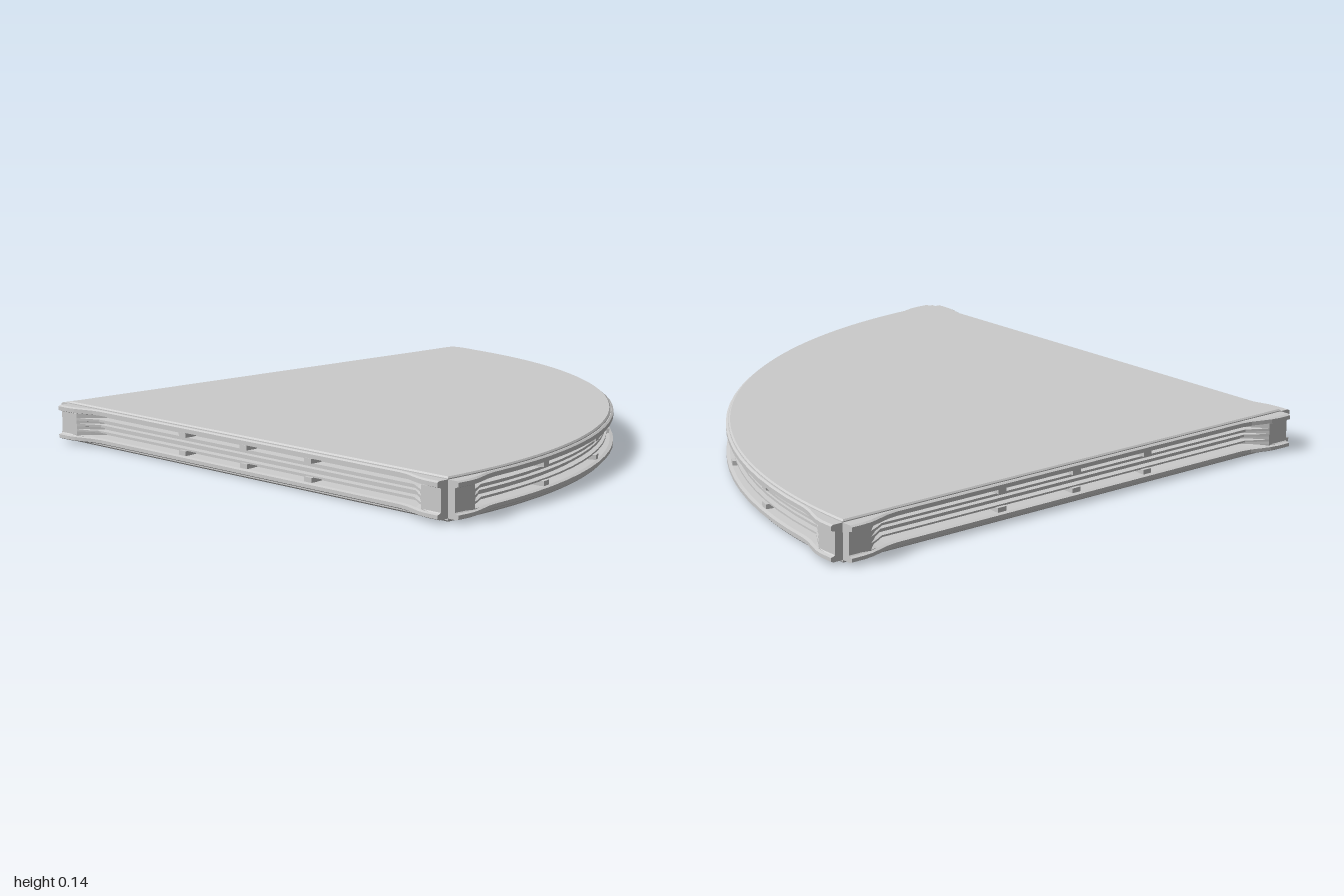
import * as THREE from 'three';

const H = 0.955;          // half side of the quarter disc
const R = 2 * H;          // radius, centred on the (-H, H) corner
const material = new THREE.MeshStandardMaterial({ color: 0xcccccc, flatShading: true });

// The three edges: point and outward normal at u, walking round the outline
const edges = {
  front: { length: R, at: u => ({ x: -H + R * u, z: H, nx: 0, nz: 1 }), steps: 2, clips: [1 / 3, 1 / 2, 2 / 3] },
  curved: {
    length: R * Math.PI / 2, steps: 24, clips: [0.17, 0.33, 0.5, 0.67, 0.83],
    at: u => {
      const c = Math.cos(u * Math.PI / 2), s = Math.sin(u * Math.PI / 2);
      return { x: -H + R * c, z: H - R * s, nx: c, nz: -s };
    },
  },
  left: { length: R, at: u => ({ x: -H, z: -H + R * u, nx: -1, nz: 0 }), steps: 2, clips: [1 / 3, 1 / 2, 2 / 3] },
};

// Edge section from top to bottom: height, depth along the edge, depth at the end brackets
const section = [
  [0.131, -0.06, -0.06], [0.131, 0.005, 0.036], [0.127, 0.012, 0.045], [0.113, 0.012, 0.045],
  [0.110, 0.0, 0.034], [0.108, -0.045, 0.03], [0.094, -0.045, 0.03], [0.092, -0.012, 0.03],
  [0.084, -0.012, 0.03], [0.082, -0.035, 0.03], [0.074, -0.035, 0.03], [0.072, -0.018, 0.03],
  [0.064, -0.018, 0.03], [0.062, -0.035, 0.03], [0.054, -0.035, 0.03], [0.052, -0.012, 0.03],
  [0.046, -0.012, 0.03], [0.044, -0.045, 0.03], [0.033, -0.045, 0.03], [0.030, 0.0, 0.034],
  [0.027, 0.012, 0.045], [0.015, 0.012, 0.045], [0.011, 0.005, 0.036], [0.011, -0.06, -0.06],
];

// Depth of a section point at distance d from the nearest end of the edge
function depth([y, mid, end], d) {
  const flange = y > 0.109 || y < 0.031;
  const t = flange ? THREE.MathUtils.smoothstep(d, 0.05, 0.2) : THREE.MathUtils.smoothstep(d, 0.085, 0.16);
  return THREE.MathUtils.lerp(end, mid, t);
}

// Sweep the section along an edge, closing both ends
function edgeTrim(edge) {
  const ends = [0, 0.05, 0.085, 0.12, 0.16, 0.2];
  const stations = ends.map(d => d / edge.length);
  const a = 0.2 / edge.length;
  for (let i = 1; i < edge.steps; i++) stations.push(a + (1 - 2 * a) * i / edge.steps);
  stations.push(...ends.map(d => 1 - d / edge.length).reverse());
  const rows = stations.map(u => {
    const p = edge.at(u), d = Math.min(u, 1 - u) * edge.length;
    return section.map(s => {
      const o = depth(s, d);
      return [p.x + p.nx * o, s[0], p.z + p.nz * o];
    });
  });
  const cap = u => {
    const p = edge.at(u);
    return section.map(s => [p.x - p.nx * 0.06, s[0], p.z - p.nz * 0.06]);
  };
  rows.unshift(cap(0));
  rows.push(cap(1));
  const index = [], n = section.length;
  for (let i = 0; i < rows.length - 1; i++) {
    for (let j = 0; j < n - 1; j++) {
      const k = i * n + j;
      index.push(k, k + 1, k + n + 1, k, k + n + 1, k + n);
    }
  }
  let geometry = new THREE.BufferGeometry();
  geometry.setAttribute('position', new THREE.Float32BufferAttribute(rows.flat(2), 3));
  geometry.setIndex(index);
  geometry = geometry.toNonIndexed();
  geometry.computeVertexNormals();
  return geometry;
}

// Quarter-disc slab with a small bevel, standing between y0 and y1
function slab(name, y0, y1, bevel) {
  const r = R - 2 * bevel, c = -H + bevel;
  const shape = new THREE.Shape();
  shape.moveTo(c, c);
  shape.lineTo(c + r, c);
  shape.absarc(c, c, r, 0, Math.PI / 2, false);
  shape.lineTo(c, c);
  const geometry = new THREE.ExtrudeGeometry(shape, {
    depth: y1 - y0 - 2 * bevel, bevelEnabled: true, bevelThickness: bevel,
    bevelSize: bevel, bevelSegments: 1, curveSegments: 40,
  });
  geometry.rotateX(-Math.PI / 2).translate(0, y0 + bevel, 0);
  const mesh = new THREE.Mesh(geometry, material);
  mesh.name = name;
  return mesh;
}

export function createModel() {
  const model = new THREE.Group();
  model.name = 'quarterDiscPlatform';
  model.add(slab('topDeck', 0.122, 0.139, 0.005), slab('bottomDeck', 0, 0.02, 0.005));

  for (const [name, edge] of Object.entries(edges)) {
    const trim = new THREE.Mesh(edgeTrim(edge), material);
    trim.name = name + 'EdgeTrim';
    model.add(trim);

    // Small clips bridging the upper and lower grooves
    for (const u of edge.clips) {
      for (const y of [0.101, 0.039]) {
        const p = edge.at(u);
        const clip = new THREE.Mesh(new THREE.BoxGeometry(0.035, 0.016, 0.05), material);
        clip.name = name + 'Clip';
        clip.position.set(p.x - p.nx * 0.025, y, p.z - p.nz * 0.025);
        clip.rotation.y = Math.atan2(p.nx, p.nz);
        model.add(clip);
      }
    }
  }
  return model;
}
